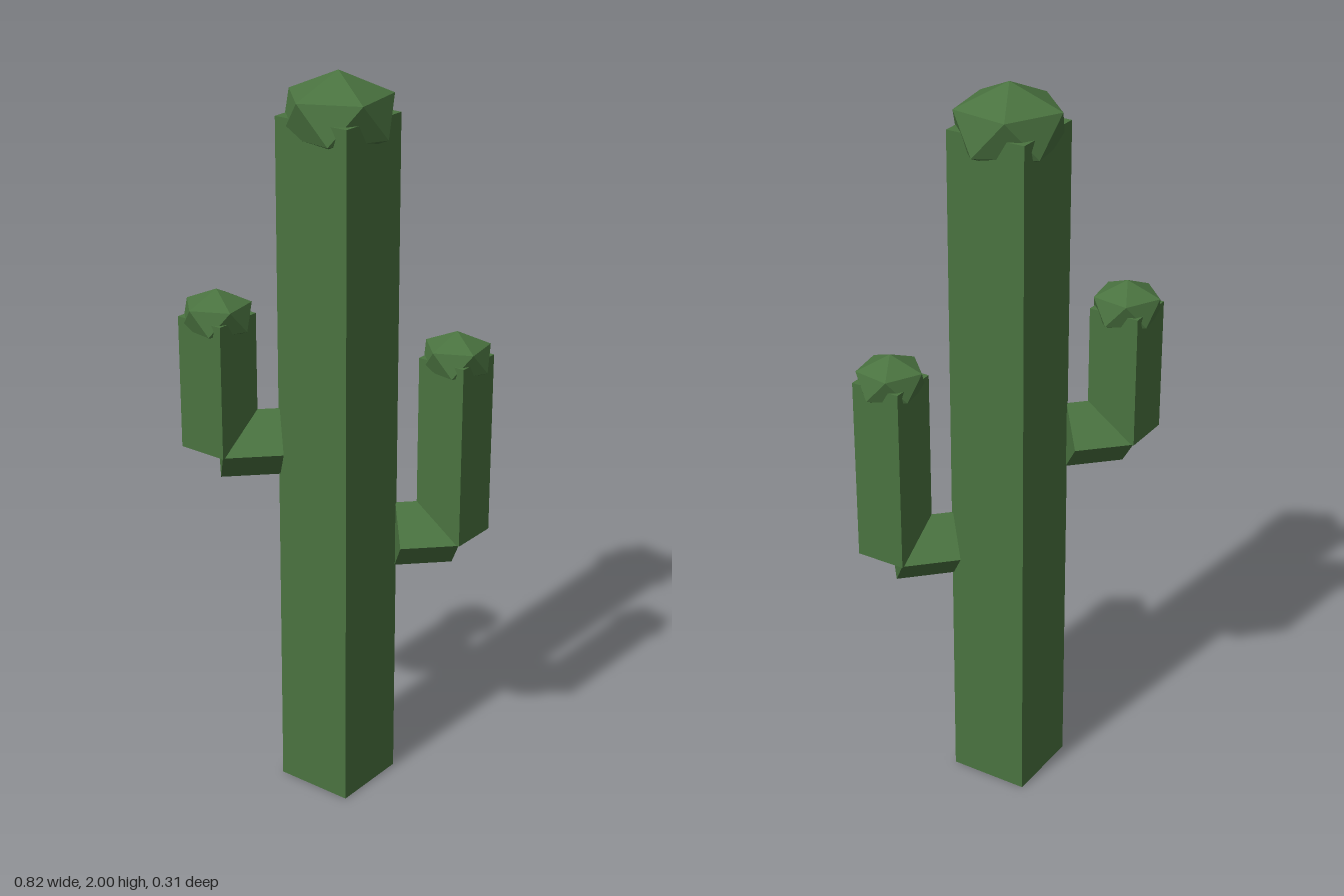
import * as THREE from 'three';

const green = new THREE.MeshStandardMaterial({ color: 0x4a7340, flatShading: true });

function addMesh(parent, name, geometry, x, y) {
  const mesh = new THREE.Mesh(geometry, green);
  mesh.name = name;
  mesh.position.set(x, y, 0);
  parent.add(mesh);
}

// Four-sided upright column, standing on y = bottom
function addColumn(parent, name, radius, x, bottom, top) {
  const geometry = new THREE.CylinderGeometry(radius, radius, top - bottom, 4);
  addMesh(parent, name, geometry, x, (bottom + top) / 2);
}

// Flattened icosahedron with one corner straight up and a ring corner towards +x
function addCap(parent, name, radius, x, y) {
  const geometry = new THREE.IcosahedronGeometry(radius, 0);
  geometry.rotateX(-Math.atan((1 + Math.sqrt(5)) / 2));
  geometry.rotateY(Math.PI / 2);
  geometry.scale(1, 0.7, 1);
  addMesh(parent, name, geometry, x, y);
}

// Elbow reaching out from the trunk, upright arm and its cap
function addArm(parent, name, side, elbowY, topY) {
  const arm = new THREE.Group();
  arm.name = name;
  const inner = 0.154, outer = 0.311;
  const elbow = new THREE.CylinderGeometry(0.094, 0.094, outer - inner, 4);
  elbow.rotateZ(Math.PI / 2);
  addMesh(arm, 'elbow', elbow, side * (inner + outer) / 2, elbowY);
  addColumn(arm, 'upright', 0.099, side * outer, elbowY, topY);
  addCap(arm, 'armCap', 0.1, side * outer, topY);
  parent.add(arm);
}

export function createModel() {
  const cactus = new THREE.Group();
  cactus.name = 'cactus';
  addColumn(cactus, 'trunk', 0.157, 0, 0, 1.89);
  addCap(cactus, 'trunkCap', 0.157, 0, 1.89);
  addArm(cactus, 'leftArm', 1, 0.73, 1.236);
  addArm(cactus, 'rightArm', -1, 1.02, 1.38);
  return cactus;
}
